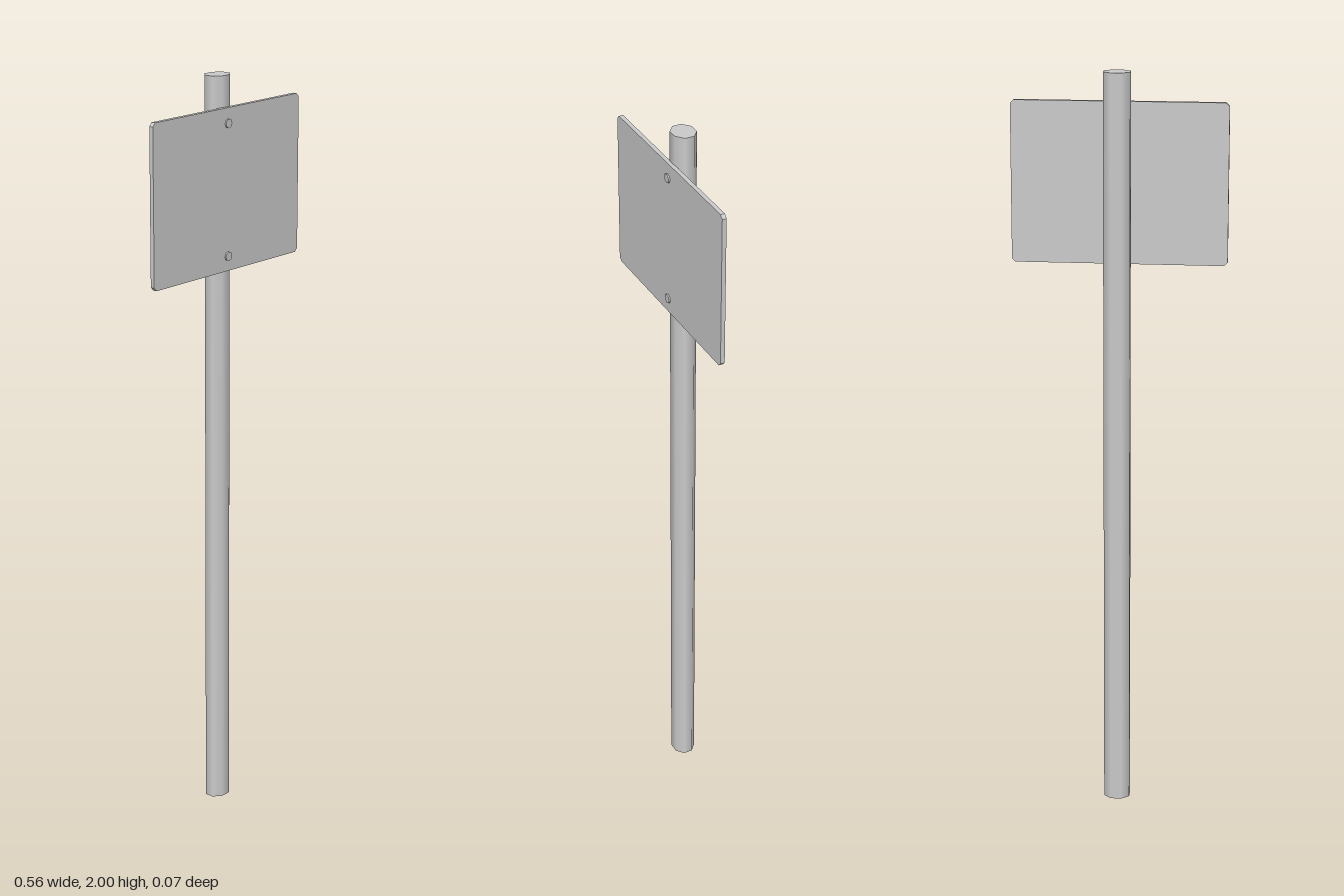
import * as THREE from 'three';

const grey = new THREE.MeshStandardMaterial({ color: 0xcccccc });

function add(group, name, geometry, x, y, z) {
  const mesh = new THREE.Mesh(geometry, grey);
  mesh.name = name;
  mesh.position.set(x, y, z);
  group.add(mesh);
  return mesh;
}

// Plate outline with small cut corners
function plateShape(w, h, c) {
  const x = w / 2, y = h / 2;
  return new THREE.Shape([
    [-x + c, -y], [x - c, -y], [x, -y + c], [x, y - c],
    [x - c, y], [-x + c, y], [-x, y - c], [-x, -y + c],
  ].map(([px, py]) => new THREE.Vector2(px, py)));
}

export function createModel() {
  const group = new THREE.Group();
  group.name = 'signPost';

  // Eight-sided post, flats facing the axes, slightly wider than deep
  const r = 1 / Math.cos(Math.PI / 8);
  const post = new THREE.CylinderGeometry(r, r, 2, 8, 1, false, Math.PI / 8);
  post.scale(0.0345, 1, 0.0295);
  add(group, 'post', post, 0.0035, 1, -0.0075);

  // Thin sign plate on the front of the post
  const plate = new THREE.ExtrudeGeometry(plateShape(0.561, 0.422, 0.009), {
    depth: 0.0115, bevelEnabled: false,
  });
  add(group, 'signPlate', plate, 0, 1.709, 0.0205);

  // Two flat bolt heads
  for (const [name, y] of [['upperBolt', 1.88], ['lowerBolt', 1.537]]) {
    const bolt = new THREE.CylinderGeometry(0.012, 0.012, 0.007, 8);
    bolt.rotateX(Math.PI / 2);
    add(group, name, bolt, -0.0005, y, 0.0325);
  }
  return group;
}
